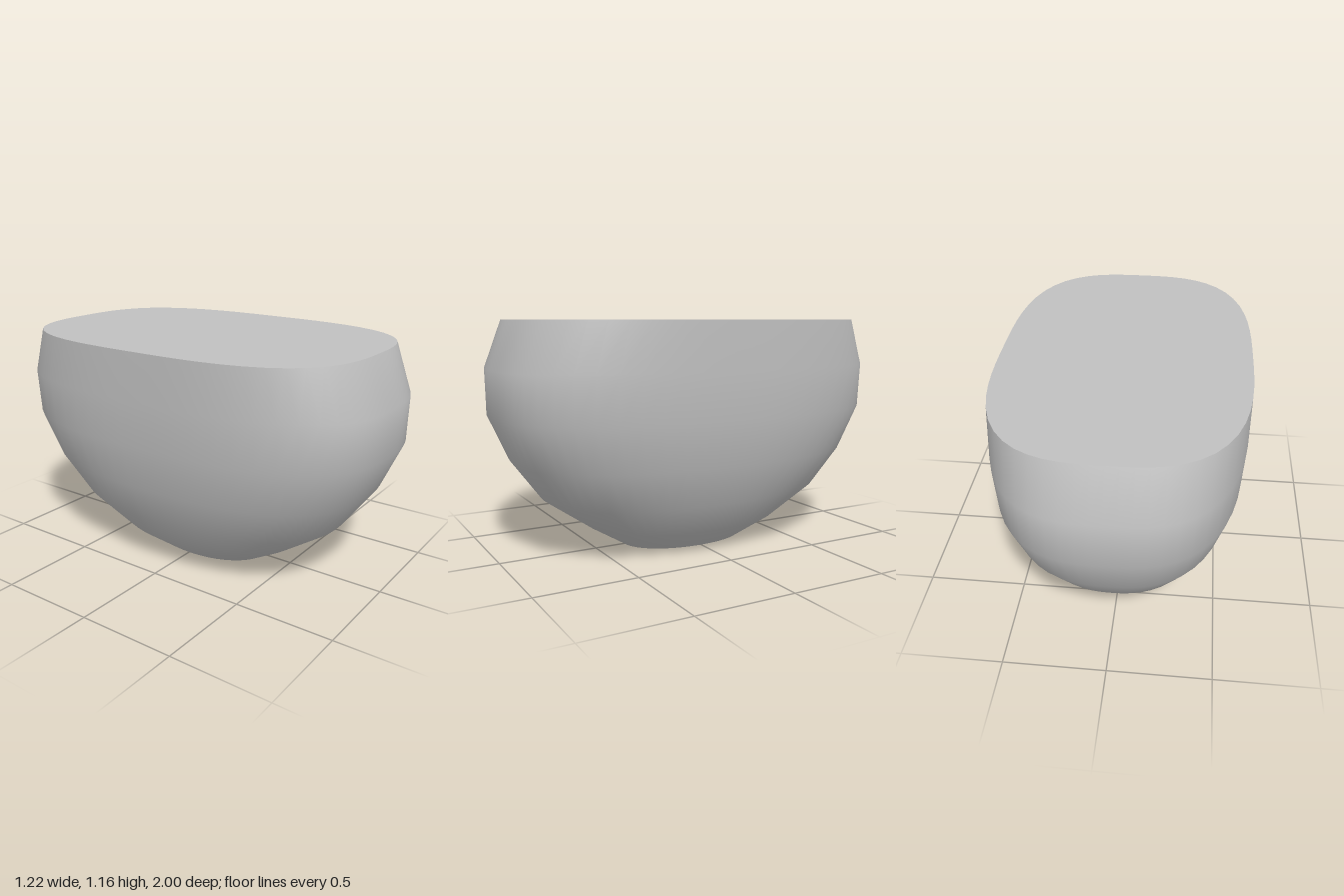
import * as THREE from 'three';

const SEGMENTS = 64;

// Each level: height, half width, half depth, squareness of the outline
const LEVELS = [
  [0, 0.215, 0.34, 2.1],
  [0.115, 0.365, 0.53, 2.2],
  [0.275, 0.475, 0.76, 2.4],
  [0.475, 0.555, 0.905, 2.6],
  [0.7, 0.6, 1.0, 2.8],
  [0.925, 0.61, 1.0, 2.9],
  [1.16, 0.61, 0.905, 3.0],
];

// Superellipse outline at one level
function ring([y, width, depth, power]) {
  const points = [];
  for (let j = 0; j < SEGMENTS; j++) {
    const t = (j / SEGMENTS) * Math.PI * 2;
    const c = Math.cos(t), s = Math.sin(t);
    const r = Math.pow(Math.abs(c) ** power + Math.abs(s) ** power, -1 / power);
    points.push(width * c * r, y, depth * s * r);
  }
  return points;
}

function build(positions, indices) {
  const geometry = new THREE.BufferGeometry();
  geometry.setAttribute('position', new THREE.Float32BufferAttribute(positions, 3));
  geometry.setIndex(indices);
  geometry.computeVertexNormals();
  return geometry;
}

// Smooth wall joining the outlines
function wallGeometry() {
  const indices = [];
  for (let i = 0; i < LEVELS.length - 1; i++) {
    for (let j = 0; j < SEGMENTS; j++) {
      const k = (j + 1) % SEGMENTS;
      const a = i * SEGMENTS + j, b = i * SEGMENTS + k;
      indices.push(a, a + SEGMENTS, b, b, a + SEGMENTS, b + SEGMENTS);
    }
  }
  return build(LEVELS.flatMap(ring), indices);
}

// Flat fan closing one end
function capGeometry(level, facesUp) {
  const indices = [];
  for (let j = 0; j < SEGMENTS; j++) {
    const k = (j + 1) % SEGMENTS;
    indices.push(SEGMENTS, facesUp ? k : j, facesUp ? j : k);
  }
  return build([...ring(level), 0, level[0], 0], indices);
}

export function createModel() {
  const group = new THREE.Group();
  group.name = 'roundedBowlBlock';
  const grey = new THREE.MeshStandardMaterial({ color: 0xc0c0c0 });
  grey.name = 'light grey';

  const add = (name, geometry) => {
    const mesh = new THREE.Mesh(geometry, grey);
    mesh.name = name;
    group.add(mesh);
  };
  add('curvedWall', wallGeometry());
  add('flatTop', capGeometry(LEVELS[LEVELS.length - 1], true));
  add('flatBase', capGeometry(LEVELS[0], false));
  return group;
}
